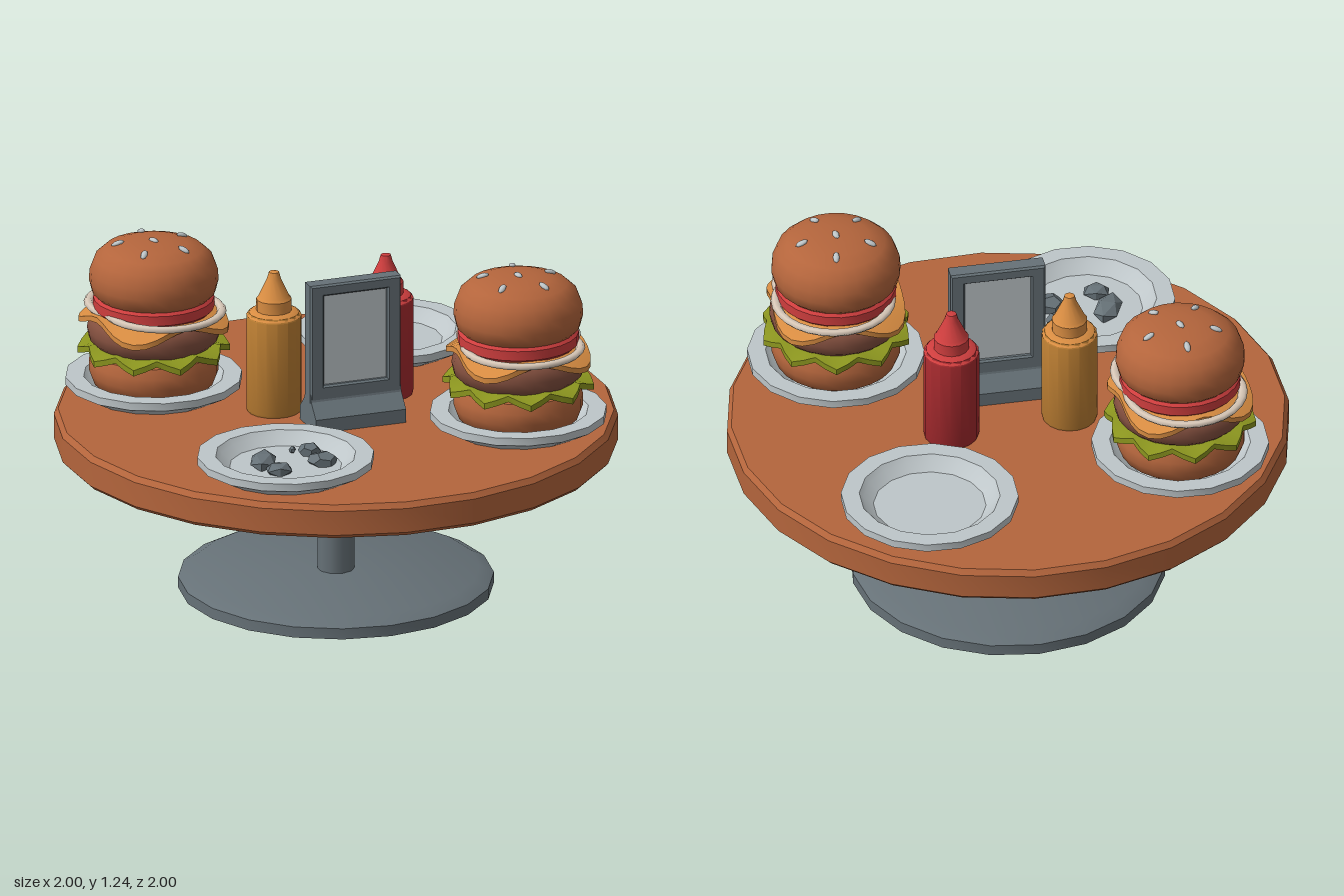
import * as THREE from 'three';
import { toCreasedNormals } from 'three/addons/utils/BufferGeometryUtils.js';

const material = (name, color) => {
  const m = new THREE.MeshStandardMaterial({ color });
  m.name = name;
  return m;
};

export function createModel() {
  const wood = material('toasted brown', 0xb4653c);
  const metal = material('steel grey', 0x667177);
  const china = material('pale grey', 0xbec6c9);
  const cheeseMat = material('cheese orange', 0xd98d42);
  const mustardMat = material('mustard', 0xbd7f33);
  const red = material('tomato red', 0xcf3e3e);
  const darkRed = material('ketchup red', 0xa62a2e);
  const brown = material('patty brown', 0x84503f);
  const green = material('lettuce green', 0x8c961f);
  const cream = material('onion cream', 0xd9c9b9);

  const model = new THREE.Group();
  model.name = 'dinerTable';

  const add = (parent, name, geometry, mat, x = 0, y = 0, z = 0) => {
    const mesh = new THREE.Mesh(geometry, mat);
    mesh.name = name;
    mesh.position.set(x, y, z);
    parent.add(mesh);
    return mesh;
  };
  const group = (name, x, y, z) => {
    const g = new THREE.Group();
    g.name = name;
    g.position.set(x, y, z);
    model.add(g);
    return g;
  };
  // Turned solid from a [radius, height] profile, listed from bottom to top
  const turned = (profile, sides, crease = 0.6) => toCreasedNormals(
    new THREE.LatheGeometry(profile.map(([r, y]) => new THREE.Vector2(r, y)), sides), crease);

  // Table
  add(model, 'tableTop', turned([[0, 0.54], [0.985, 0.54], [1, 0.555], [1, 0.645], [0.985, 0.665], [0, 0.665]], 24), wood);
  add(model, 'tablePole', new THREE.CylinderGeometry(0.066, 0.066, 0.5, 10), metal, 0, 0.3, 0);
  add(model, 'tableFoot', turned([[0, 0], [0.56, 0], [0.56, 0.04], [0.51, 0.066], [0, 0.066]], 20), metal);

  // Plates
  const plateGeometry = turned([[0, 0.665], [0.24, 0.665], [0.315, 0.705], [0.315, 0.733],
    [0.25, 0.733], [0.235, 0.715], [0.2, 0.69], [0, 0.69]], 16, 0.45);
  [[-0.67, 0], [0.67, 0], [0, -0.67], [0, 0.67]].forEach(([x, z]) => add(model, 'plate', plateGeometry, china, x, 0, z));

  // Thin round slice whose rim waves in and out and droops
  const wavySlice = (radius, thickness, lobes, spread, droop) => {
    const geo = new THREE.LatheGeometry([[0, 0], [0.19, 0], [radius, 0], [radius, thickness], [0.19, thickness], [0, thickness]]
      .map(([r, y]) => new THREE.Vector2(r, y)), 40);
    const p = geo.attributes.position;
    for (let i = 0; i < p.count; i++) {
      const x = p.getX(i), z = p.getZ(i);
      const t = Math.max(0, (Math.hypot(x, z) - 0.19) / (radius - 0.19));
      const wave = Math.cos(lobes * Math.atan2(x, z));
      const s = 1 + t * spread * wave;
      p.setXYZ(i, x * s, p.getY(i) - t * droop * (0.5 + 0.5 * wave), z * s);
    }
    return toCreasedNormals(geo, 0.7);
  };

  // Burgers
  const bottomBun = turned([[0, 0.69], [0.19, 0.69], [0.215, 0.71], [0.23, 0.75], [0.23, 0.79], [0.215, 0.825], [0, 0.825]], 24, 0.8);
  const topBun = turned([[0, 1.03], [0.2, 1.03], [0.22, 1.05], [0.23, 1.09], [0.227, 1.13], [0.21, 1.175],
    [0.175, 1.207], [0.12, 1.226], [0.06, 1.233], [0, 1.235]], 24, 0.8);
  const patty = turned([[0, 0.855], [0.21, 0.855], [0.23, 0.875], [0.237, 0.91], [0.23, 0.945], [0.21, 0.965], [0, 0.965]], 24, 0.8);
  const lettuce = wavySlice(0.258, 0.022, 10, 0.05, 0.028);
  const cheese = wavySlice(0.252, 0.02, 4, 0.08, 0.05);
  const tomato = turned([[0, 0.98], [0.205, 0.98], [0.215, 0.99], [0.215, 1.025], [0.205, 1.035], [0, 1.035]], 24);
  const onion = new THREE.TorusGeometry(0.205, 0.017, 6, 28).rotateX(Math.PI / 2).scale(1, 0.7, 1);
  const seed = new THREE.SphereGeometry(1, 8, 6).scale(0.012, 0.009, 0.024);

  const burger = (x, turn, rings) => {
    const g = group('burger', x, 0, 0);
    add(g, 'bottomBun', bottomBun, wood);
    add(g, 'lettuce', lettuce, green, 0, 0.845, 0).rotation.y = turn;
    add(g, 'patty', patty, brown);
    add(g, 'cheese', cheese, cheeseMat, 0, 0.965, 0).rotation.y = turn;
    add(g, 'tomato', tomato, red);
    rings.forEach(([rx, rz], i) => add(g, 'onionRing', onion, cream, rx, 0.985 + 0.008 * i, rz));
    add(g, 'topBun', topBun, wood);
    add(g, 'seed', seed, china, 0, 1.235, 0).rotation.y = turn + 0.9;
    for (let i = 0; i < 5; i++) {
      const a = turn + i * Math.PI * 0.4;
      const s = add(g, 'seed', seed, china, 0.128 * Math.sin(a), 1.226, 0.128 * Math.cos(a));
      s.rotation.set(0.35, a, 0, 'YXZ');
    }
  };
  burger(-0.67, 0, [[-0.04, -0.045], [0.05, 0.045]]);
  burger(0.67, -0.19, [[0.03, 0.05], [-0.015, -0.055]]);

  // Sauce bottles
  const bottleBody = turned([[0, 0.665], [0.095, 0.665], [0.099, 0.675], [0.099, 1.02], [0.09, 1.035], [0, 1.04]], 16);
  const bottleCap = turned([[0, 1.025], [0.099, 1.025], [0.085, 1.038], [0.063, 1.042], [0.063, 1.085], [0.055, 1.095],
    [0.025, 1.16], [0.018, 1.185], [0, 1.19]], 14);
  const bottle = (name, x, z, bodyMat, capMat) => {
    const g = group(name, x, 0, z);
    add(g, 'bottleBody', bottleBody, bodyMat);
    add(g, 'bottleCap', bottleCap, capMat);
  };
  bottle('mustardBottle', -0.21, 0.065, mustardMat, cheeseMat);
  bottle('ketchupBottle', 0.125, -0.21, darkRed, red);

  // Menu stand: wedge foot, framed panel and a sheet on each side
  const stand = group('menuStand', 0.09, 0, 0.1);
  stand.rotation.y = 0.62;
  const polygon = (pts) => new THREE.Shape(pts.map(([x, y]) => new THREE.Vector2(x, y)));
  const foot = new THREE.ExtrudeGeometry(polygon([[-0.083, 0.665], [0.083, 0.665], [0.083, 0.715], [0.035, 0.765],
    [0.025, 0.8], [-0.025, 0.8], [-0.035, 0.765], [-0.083, 0.715]]), { depth: 0.34, bevelEnabled: false });
  foot.translate(0, 0, -0.17).rotateY(Math.PI / 2);
  add(stand, 'standFoot', foot, metal);
  const frame = polygon([[-0.165, 0.765], [0.165, 0.765], [0.165, 1.195], [-0.165, 1.195]]);
  frame.holes.push(polygon([[-0.125, 0.815], [-0.125, 1.165], [0.125, 1.165], [0.125, 0.815]]));
  const frameGeometry = new THREE.ExtrudeGeometry(frame, { depth: 0.05, bevelThickness: 0.008, bevelSize: 0.006, bevelSegments: 1 });
  add(stand, 'standFrame', frameGeometry, metal, 0, 0, -0.025);
  add(stand, 'menuSheet', new THREE.BoxGeometry(0.26, 0.36, 0.03), china, 0, 0.99, 0);

  // Crumbs left on the front plate: x, z, half width, half depth, turn
  const crumbs = group('crumbs', 0, 0.703, 0);
  [[-0.08, 0.68, 0.05, 0.09, 0.2], [0.05, 0.535, 0.042, 0.038, 0.5], [0.12, 0.615, 0.056, 0.054, 0.9],
    [0, 0.755, 0.052, 0.042, 0.4], [-0.01, 0.545, 0.013, 0.013, 0]].forEach(([x, z, w, d, turn], i) => {
    const geo = i % 3 ? new THREE.DodecahedronGeometry(1) : new THREE.IcosahedronGeometry(1);
    const c = add(crumbs, 'crumb', geo, metal, x, 0, z);
    c.scale.set(w, Math.min(w, 0.03), d);
    c.rotation.y = turn;
  });

  return model;
}
